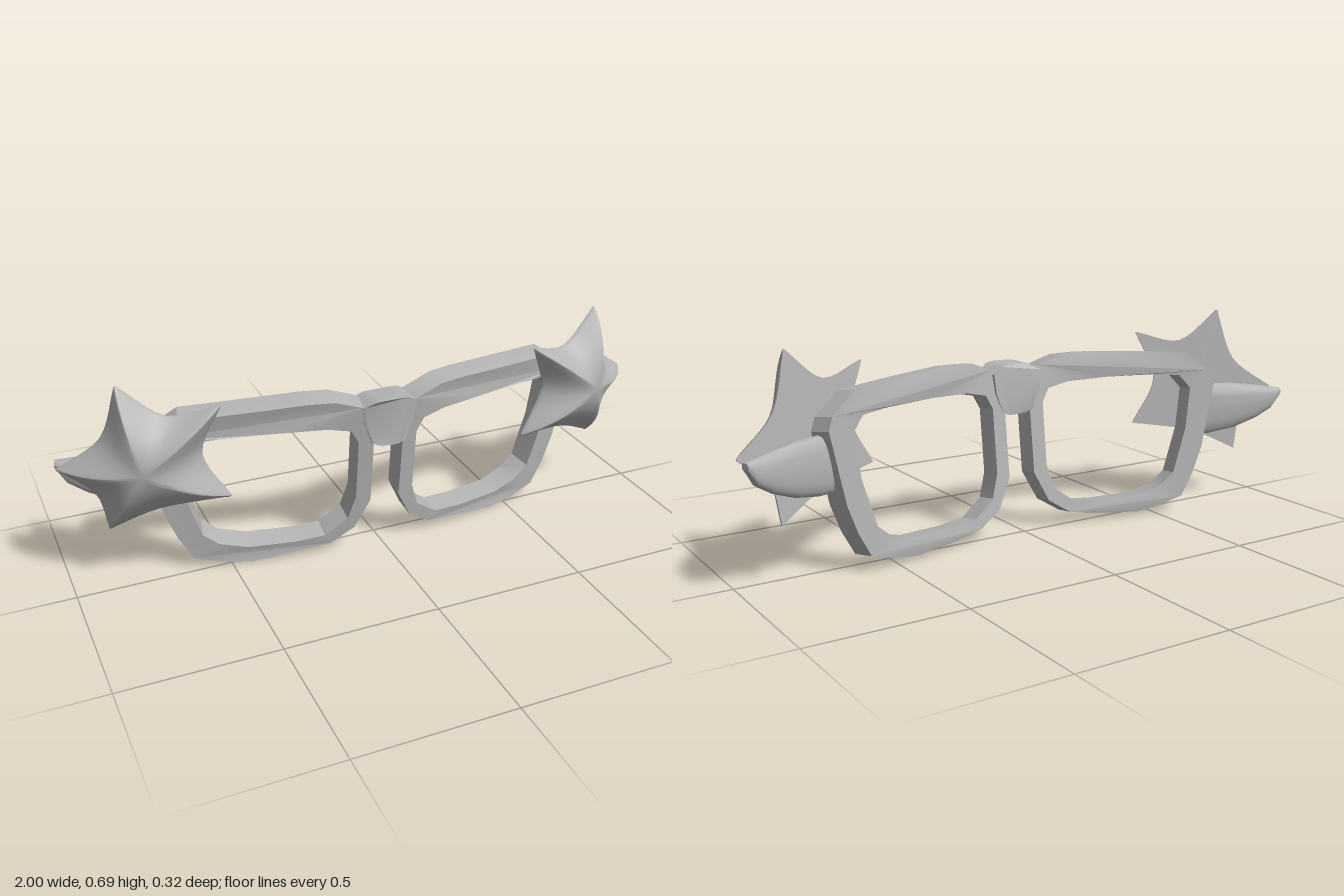
import * as THREE from 'three';
import { toCreasedNormals } from 'three/addons/utils/BufferGeometryUtils.js';

const V2 = (p) => new THREE.Vector2(p[0], p[1]);

// Move every vertex by a rule (x, y, z) -> [x, y, z]
function warp(geo, rule) {
  const p = geo.attributes.position;
  for (let i = 0; i < p.count; i++) p.setXYZ(i, ...rule(p.getX(i), p.getY(i), p.getZ(i)));
  return geo;
}

// Mirror a geometry in x, keeping the faces turned outwards
function mirrorX(geo) {
  const g = geo.clone();
  const p = g.attributes.position;
  for (let i = 0; i < p.count; i += 3) {
    const t = [0, 1, 2].map((k) => [-p.getX(i + k), p.getY(i + k), p.getZ(i + k)]);
    [t[0], t[2], t[1]].forEach((v, k) => p.setXYZ(i + k, ...v));
  }
  return g;
}

// Closed rings of equal length joined into a skin, with a fan on either end
function loft(rings, startPoint, endPoint) {
  const n = rings[0].length;
  const pos = [];
  const tri = (a, b, c) => pos.push(...a, ...b, ...c);
  for (let j = 0; j < n; j++) {
    const k = (j + 1) % n;
    tri(startPoint, rings[0][k], rings[0][j]);
    tri(endPoint, rings[rings.length - 1][j], rings[rings.length - 1][k]);
    for (let i = 0; i + 1 < rings.length; i++) {
      const a = rings[i], b = rings[i + 1];
      tri(a[j], a[k], b[k]);
      tri(a[j], b[k], b[j]);
    }
  }
  const g = new THREE.BufferGeometry();
  g.setAttribute('position', new THREE.Float32BufferAttribute(pos, 3));
  return g;
}

const plate = (shape) => new THREE.ExtrudeGeometry(shape, { depth: 1, bevelEnabled: false });

// Rim: outline with a lens opening, wrapped back round the face
function rimGeometry() {
  const outer = [[0.05, 0.39], [0.05, 0.18], [0.1, 0.08], [0.18, 0.03], [0.3, 0.012], [0.44, 0],
    [0.53, 0.012], [0.62, 0.04], [0.665, 0.12], [0.7, 0.21], [0.75, 0.44], [0.735, 0.48], [0.645, 0.545],
    [0.54, 0.553], [0.4, 0.561], [0.27, 0.568], [0.18, 0.565], [0.09, 0.535], [0.06, 0.52]];
  const inner = [[0.1, 0.41], [0.125, 0.455], [0.2, 0.472], [0.35, 0.477], [0.52, 0.475], [0.62, 0.467],
    [0.66, 0.42], [0.64, 0.28], [0.59, 0.125], [0.54, 0.085], [0.45, 0.06], [0.3, 0.057], [0.2, 0.065],
    [0.125, 0.12], [0.1, 0.2]];
  const shape = new THREE.Shape(outer.map(V2));
  shape.holes.push(new THREE.Path(inner.map(V2)));
  return warp(plate(shape), (x, y, k) => {
    const front = 0.145 - 0.1 * x - 0.15 * x * x - (0.13 - 0.09 * x) * (0.55 - y);
    return [x - 0.03 * x * (1 - k), y + 0.012 * (1 - k), front - 0.078 * (1 - k)];
  });
}

// Bridge: short arched block bowed forward between the rims
function bridgeGeometry() {
  const half = [[0.03, 0.556], [0.055, 0.553], [0.09, 0.533], [0.083, 0.47], [0.058, 0.405], [0.03, 0.392]];
  const shape = new THREE.Shape([...half, ...half.map(([x, y]) => [-x, y]).reverse()].map(V2));
  return warp(plate(shape), (x, y, k) =>
    [x, y, 0.157 - 0.1 * (0.55 - y) - 2.5 * x * x - 0.095 * (1 - k)]);
}

// Star: domed front with ridged, rounded points on a flat tilted back
function starGeometry() {
  const tips = [[0.815, 0.685], [0.53, 0.615], [0.51, 0.295], [0.865, 0.185], [1.0, 0.405]].map(V2);
  const dips = [[0.68, 0.582], [0.587, 0.45], [0.72, 0.255], [0.895, 0.315], [0.87, 0.51]].map(V2);
  const pts = [];
  tips.forEach((tip, i) => {
    const before = dips[(i + 4) % 5], after = dips[i];
    for (const p of [tip.clone().lerp(before, 0.13), tip, tip.clone().lerp(after, 0.13), after]) {
      pts.push(new THREE.Vector3(p.x, p.y, 0));
    }
  });
  const outline = new THREE.CatmullRomCurve3(pts, true).getPoints(100).slice(0, 100);
  const [cx, cy] = [0.745, 0.435];
  const place = (x, y, h) =>
    [x + 0.33 * h, y - 0.05 * h, 0.08 - 0.37 * (x - 0.535) + 0.08 * (y - 0.43) + 0.94 * h];
  const rings = [1, 0.97, 0.9, 0.8, 0.68, 0.55, 0.4, 0.25, 0.12].map((t) => outline.map((p) =>
    place(cx + t * (p.x - cx), cy + t * (p.y - cy), 0.004 + 0.11 * (1 - t ** 2.2))));
  rings.unshift(outline.map((p) => place(p.x, p.y, 0)));
  return loft(rings, place(cx, cy, 0), place(cx, cy, 0.114));
}

// Temple stub: flattened tube that narrows and sweeps backwards
function templeGeometry() {
  // x, bottom y, top y, centre z, half thickness
  const stations = [[0.67, 0.25, 0.425, -0.03, 0.025], [0.75, 0.253, 0.435, -0.055, 0.03],
    [0.83, 0.268, 0.432, -0.083, 0.03], [0.91, 0.3, 0.422, -0.113, 0.025],
    [0.965, 0.335, 0.413, -0.134, 0.021], [0.995, 0.385, 0.408, -0.147, 0.014]];
  const n = 16;
  const round = (v) => Math.sign(v) * Math.abs(v) ** 0.75;
  const rings = stations.map(([x, lo, hi, z, w]) => Array.from({ length: n }, (_, i) => {
    const a = (i / n) * Math.PI * 2;
    return [x + 0.3 * w * round(Math.sin(a)), (lo + hi) / 2 + ((hi - lo) / 2) * round(Math.cos(a)),
      z + w * round(Math.sin(a))];
  }));
  return loft(rings, [0.67, 0.34, -0.03], [0.997, 0.397, -0.147]);
}

export function createModel() {
  const grey = new THREE.MeshStandardMaterial({ color: 0xb4b4b4 });
  grey.name = 'plain grey';
  const model = new THREE.Group();
  model.name = 'starGlasses';

  const add = (name, geo, crease) => {
    const mesh = new THREE.Mesh(toCreasedNormals(geo, crease), grey);
    mesh.name = name;
    model.add(mesh);
  };
  const addPair = (name, geo, crease) => {
    add('left' + name, geo, crease);
    add('right' + name, mirrorX(geo), crease);
  };

  addPair('Rim', rimGeometry(), 0.4);
  addPair('Star', starGeometry(), 0.7);
  addPair('Temple', templeGeometry(), 0.8);
  add('bridge', bridgeGeometry(), 0.5);
  return model;
}
